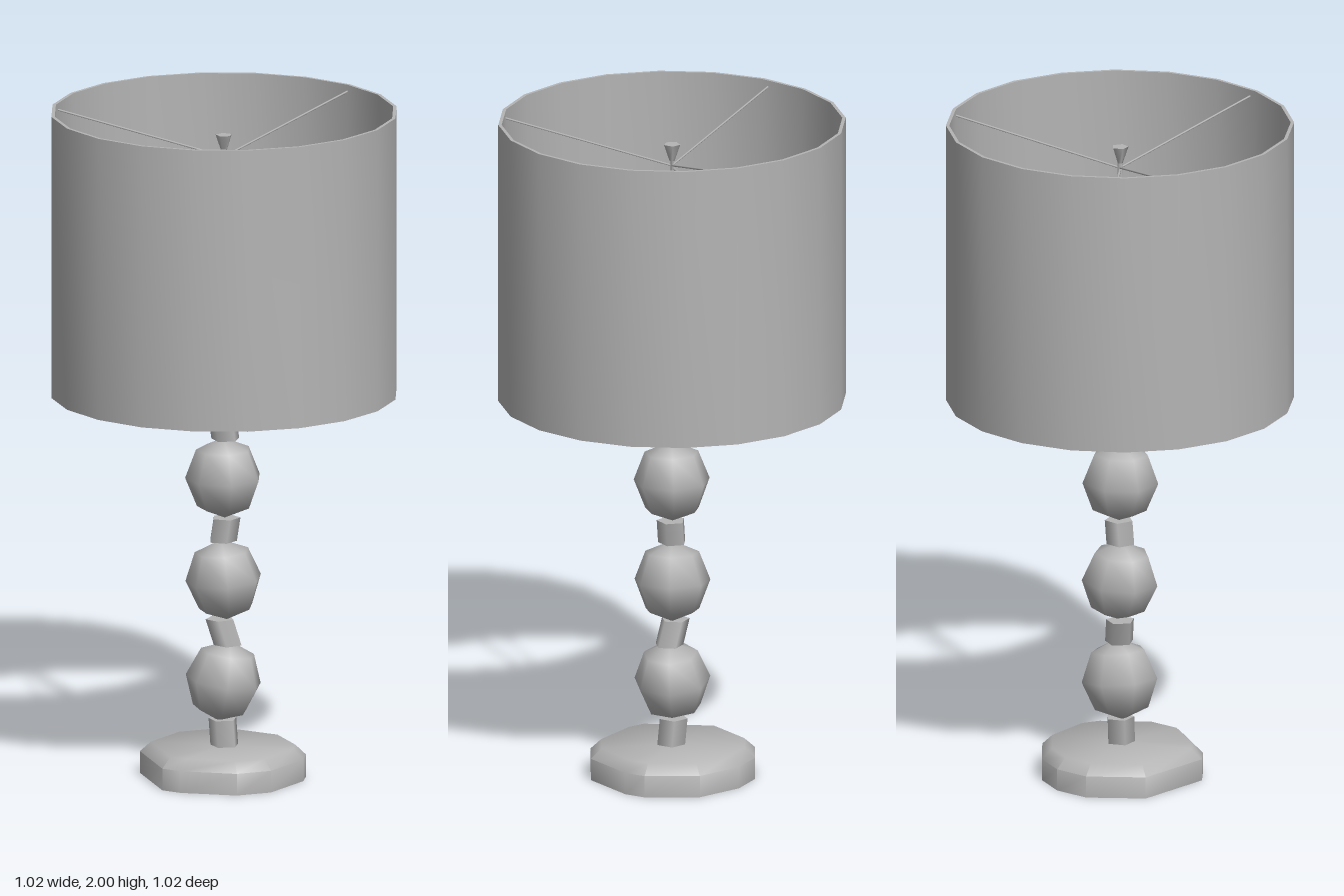
import * as THREE from 'three';
import { toCreasedNormals } from 'three/addons/utils/BufferGeometryUtils.js';

const grey = new THREE.MeshStandardMaterial({ color: 0xb4b4b4 });
grey.name = 'grey';

function add(group, name, geometry, x = 0, y = 0, z = 0) {
  const mesh = new THREE.Mesh(geometry, grey);
  mesh.name = name;
  mesh.position.set(x, y, z);
  group.add(mesh);
  return mesh;
}

// Thin straight rod between two points
function rod(group, name, a, b, radius) {
  const dir = b.clone().sub(a);
  const mesh = add(group, name, new THREE.CylinderGeometry(radius, radius, dir.length(), 6));
  mesh.position.copy(a).add(b).multiplyScalar(0.5);
  mesh.quaternion.setFromUnitVectors(new THREE.Vector3(0, 1, 0), dir.normalize());
}

// Faceted foot: an irregular outline stacked in rings and capped
function footGeometry() {
  const outline = [[0.03, -0.25], [0.13, -0.21], [0.2, -0.13], [0.24, 0.01], [0.18, 0.16], [0.13, 0.2],
    [-0.04, 0.24], [-0.14, 0.2], [-0.235, 0.06], [-0.25, 0], [-0.14, -0.21]];
  const rings = [[0, 0], [1, 0], [1, 0.065], [0.87, 0.095], [0, 0.097]]; // scale, height
  const n = outline.length;
  const positions = [];
  const index = [];
  for (const [s, y] of rings) for (const [x, z] of outline) positions.push(x * s, y, z * s);
  for (let r = 0; r < rings.length - 1; r++) {
    for (let i = 0; i < n; i++) {
      const a = r * n + i, b = r * n + (i + 1) % n, c = a + n, d = b + n;
      if (r > 0) index.push(a, c, b);
      else index.push(a, c, d);
      if (r > 0 && r < rings.length - 2) index.push(b, c, d);
    }
  }
  const g = new THREE.BufferGeometry();
  g.setAttribute('position', new THREE.Float32BufferAttribute(positions, 3));
  g.setIndex(index);
  return toCreasedNormals(g, 0.9);
}

export function createModel() {
  const lamp = new THREE.Group();
  lamp.name = 'tableLamp';
  const v = (x, y, z) => new THREE.Vector3(x, y, z);

  add(lamp, 'foot', footGeometry());

  // Stem: rough beads with small skewed spacers between them
  [[0.29, 0.0, 0.1], [0.594, 0.9, -0.12], [0.9, 1.9, 0.08]].forEach(([y, turn, tilt], i) => {
    const bead = add(lamp, 'bead' + (i + 1), new THREE.SphereGeometry(0.114, 7, 4), 0, y, 0);
    bead.scale.y = 1.06;
    bead.rotation.set(tilt, turn, -tilt);
  });
  [[0.09, 0.175, 0.1], [0.4, 0.475, 0.35], [0.71, 0.78, -0.15], [1.015, 1.085, 0.15]].forEach(([y0, y1, skew], i) => {
    const g = new THREE.CylinderGeometry(0.043, 0.043, y1 - y0, 5);
    g.applyMatrix4(new THREE.Matrix4().makeShear(0, 0, 0, -skew, 0, 0));
    add(lamp, 'spacer' + (i + 1), g, 0, (y0 + y1) / 2, 0).rotation.y = i * 0.4;
  });

  // Flat pole, bowed harp wire and finial
  add(lamp, 'pole', new THREE.CylinderGeometry(0.008, 0.018, 0.82, 6), 0, 1.47, 0).scale.z = 0.5;
  const bow = new THREE.CatmullRomCurve3([v(0, 1.15, 0), v(0, 1.5, -0.06), v(0, 1.78, -0.07), v(0, 1.86, 0)]);
  add(lamp, 'harp', new THREE.TubeGeometry(bow, 12, 0.004, 5));
  add(lamp, 'finial', new THREE.CylinderGeometry(0.025, 0.008, 0.05, 5), 0, 1.905, 0);

  // Three spokes from the finial up to the shade rim
  for (const [x, z] of [[0.502, 0], [-0.275, -0.415], [-0.275, 0.415]]) {
    rod(lamp, 'spoke', v(0, 1.865, 0), v(x, 1.98, z), 0.003);
  }

  // Open drum shade with a thin wall
  const wall = [[0.51, 1.155], [0.51, 2], [0.5, 2], [0.5, 1.155], [0.51, 1.155]];
  const shade = new THREE.LatheGeometry(wall.map(([r, y]) => new THREE.Vector2(r, y)), 20);
  add(lamp, 'shade', toCreasedNormals(shade, 0.7));

  return lamp;
}
